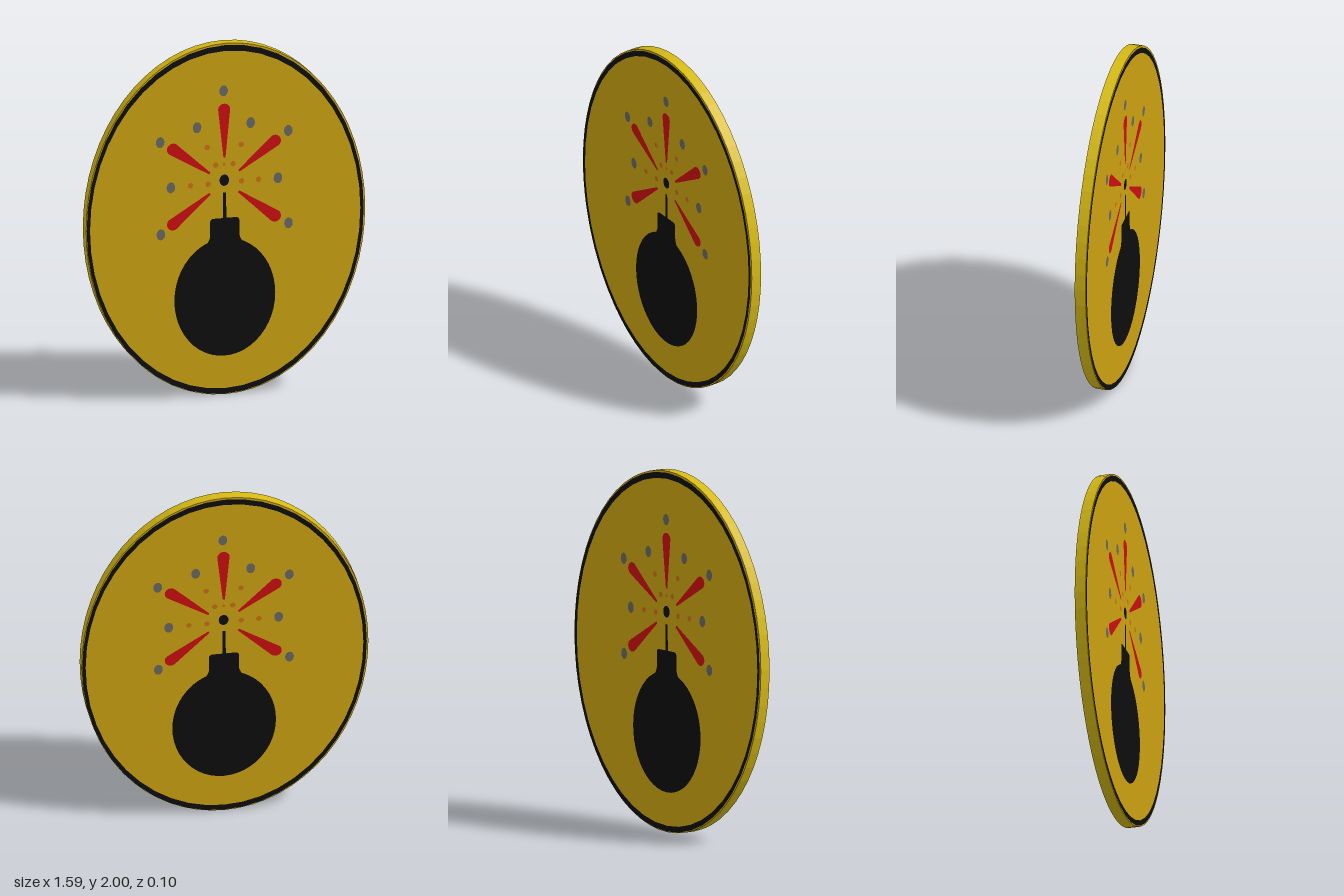
import * as THREE from 'three';

const mat = (name, color) => {
  const m = new THREE.MeshStandardMaterial({ color });
  m.name = name;
  return m;
};

export function createModel() {
  const gold = mat('gold face', 0xc9a110);
  const yellow = mat('yellow rim', 0xd6ba14);
  const black = mat('black', 0x0d0d0d);
  const red = mat('red', 0xca0e10);
  const grey = mat('grey', 0x666664);
  const orange = mat('orange', 0xc87010);

  const RX = 0.794, RY = 1, T = 0.062, LIFT = 0.0015;
  const model = new THREE.Group();
  model.name = 'ovalSign';

  const ellipse = (x, y, rx, ry) => new THREE.Shape().absellipse(x, y, rx, ry, 0, Math.PI * 2, false, 0);

  // Tapered ray from a thin tip to a round head
  const ray = (x0, y0, x1, y1, head = 0.034, tip = 0.006) => {
    const a = Math.atan2(y1 - y0, x1 - x0);
    const nx = -Math.sin(a), ny = Math.cos(a);
    const s = new THREE.Shape();
    s.moveTo(x0 + nx * tip, y0 + ny * tip);
    s.lineTo(x0 - nx * tip, y0 - ny * tip);
    s.absarc(x1, y1, head, a - Math.PI / 2, a + Math.PI / 2, false);
    s.closePath();
    return s;
  };

  // Disc with a faceted rim
  const discGeo = new THREE.CylinderGeometry(1, 1, T, 64).toNonIndexed();
  discGeo.computeVertexNormals();
  [[0, 64 * 6, 0], [64 * 6, 64 * 3, 1], [64 * 9, 64 * 3, 2]].forEach((g, i) => {
    if (i === 0) discGeo.clearGroups();
    discGeo.addGroup(...g);
  });
  discGeo.rotateX(Math.PI / 2).scale(RX, RY, 1);
  const disc = new THREE.Mesh(discGeo, [yellow, gold, gold]);
  disc.name = 'disc';
  disc.position.y = 1;
  model.add(disc);

  // Painted details of one side
  function makeSide(name) {
    const side = new THREE.Group();
    side.name = name;
    const add = (part, shapes, material, level = 1) => {
      const mesh = new THREE.Mesh(new THREE.ShapeGeometry(shapes, 24), material);
      mesh.name = part;
      mesh.position.z = T / 2 + LIFT * level;
      side.add(mesh);
    };

    // Border ring
    const ring = ellipse(-0.003, 0.997, 0.788, 0.993);
    ring.holes.push(ellipse(-0.003, 0.996, 0.769, 0.961));
    add('border', ring, black);

    // Bomb body, neck with a flared foot, fuse and spark core
    add('bombBody', ellipse(-0.005, 0.555, 0.287, 0.335), black);
    const neck = new THREE.Shape();
    neck.moveTo(-0.15, 0.82);
    neck.lineTo(0.14, 0.82);
    neck.quadraticCurveTo(0.08, 0.87, 0.077, 0.91);
    neck.lineTo(0.077, 0.985);
    neck.quadraticCurveTo(0.077, 1.005, 0.055, 1.005);
    neck.lineTo(-0.067, 1.005);
    neck.quadraticCurveTo(-0.089, 1.005, -0.089, 0.985);
    neck.lineTo(-0.089, 0.91);
    neck.quadraticCurveTo(-0.09, 0.87, -0.15, 0.82);
    add('bombNeck', neck, black, 1.4);
    const fuse = new THREE.Shape();
    fuse.moveTo(-0.014, 0.99);
    fuse.lineTo(0.005, 0.99);
    fuse.lineTo(0.001, 1.15);
    fuse.lineTo(-0.015, 1.15);
    add('fuse', fuse, black, 1.2);
    add('sparkCore', ellipse(-0.008, 1.22, 0.027, 0.032), black);

    // Red rays
    add('rays', [
      ray(-0.007, 1.35, -0.009, 1.622),
      ray(-0.09, 1.265, -0.3, 1.42), ray(0.075, 1.267, 0.28, 1.42),
      ray(-0.09, 1.15, -0.3, 0.993), ray(0.073, 1.15, 0.28, 0.993),
    ], red);

    // Grey and orange sparks
    add('outerSparks', [
      [-0.012, 1.73], [-0.163, 1.533], [0.142, 1.535], [-0.373, 1.466], [0.356, 1.472],
      [-0.312, 1.203], [0.297, 1.207], [-0.369, 0.94], [0.357, 0.945],
    ].map(([x, y]) => ellipse(x, y, 0.024, 0.031)), grey);
    add('innerSparks', [
      [-0.2, 1.205], [-0.1, 1.205], [0.09, 1.208], [0.187, 1.208],
      [-0.105, 1.415], [0.088, 1.416], [-0.057, 1.31], [0.042, 1.31],
    ].map(([x, y]) => ellipse(x, y, 0.015, 0.015)).concat(ellipse(-0.008, 1.31, 0.008, 0.008)), orange);
    return side;
  }

  const front = makeSide('frontDesign');
  const back = makeSide('backDesign');
  back.rotation.y = Math.PI;
  model.add(front, back);

  // The sign is turned very slightly about its upright axis
  model.rotation.y = -0.024;
  const root = new THREE.Group();
  root.name = 'bombSign';
  root.add(model);
  return root;
}
